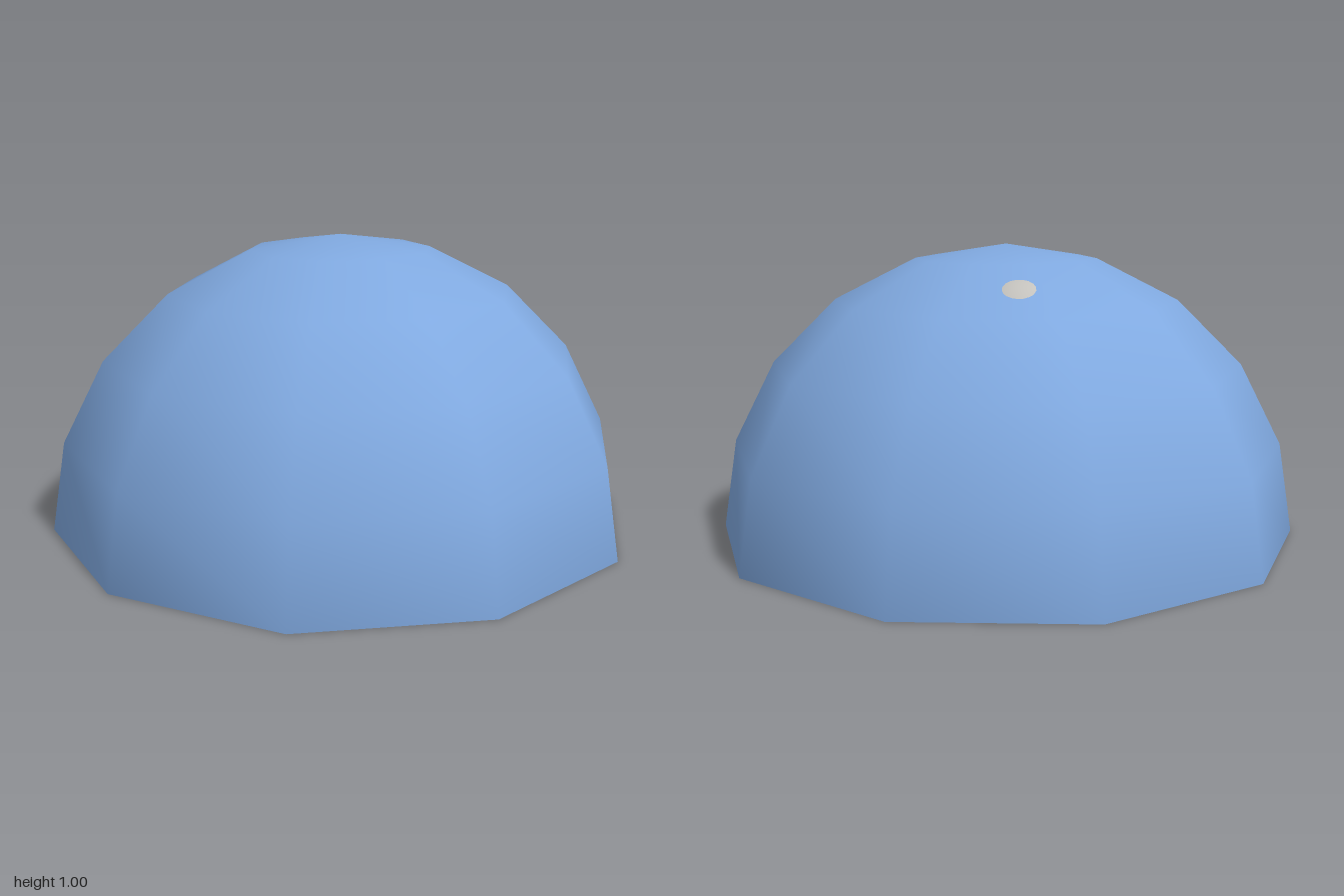
import * as THREE from 'three';

const mat = (name, color, side = THREE.FrontSide) => {
  const m = new THREE.MeshStandardMaterial({ color, side });
  m.name = name;
  return m;
};

export function createModel() {
  const model = new THREE.Group();
  const skyBlue = mat('sky blue', 0x80a9e0, THREE.DoubleSide);
  const rockGrey = mat('rock grey', 0xc0c0c0, THREE.DoubleSide);
  const paleGrey = mat('pale grey', 0xc3c1bc);

  const add = (name, geometry, material, x = 0, y = 0, z = 0) => {
    const mesh = new THREE.Mesh(geometry, material);
    mesh.name = name;
    mesh.position.set(x, y, z);
    model.add(mesh);
    return mesh;
  };

  // Ten-sided open sky dome with smooth shading
  add('skyDome', new THREE.SphereGeometry(1, 10, 5, 0, Math.PI * 2, 0, Math.PI / 2), skyBlue);

  // Moon whose outermost cap just breaks through the dome
  add('moon', new THREE.SphereGeometry(0.2, 48, 32), paleGrey, 0.147, 0.7155, -0.296);

  // Terrain: flat middle, rising to uneven hills with a ragged rim
  const halfX = 0.515, halfZ = 0.725, floorY = 0.07;
  const land = new THREE.PlaneGeometry(halfX * 2, halfZ * 2, 32, 44).rotateX(-Math.PI / 2);
  const p = land.attributes.position;
  for (let i = 0; i < p.count; i++) {
    const x = p.getX(i), z = p.getZ(i);
    const u = Math.abs(x) / halfX, v = Math.abs(z) / halfZ;
    const rise = THREE.MathUtils.smoothstep(Math.max(u, v), 0.5, 0.95);
    const corner = THREE.MathUtils.smoothstep(Math.min(u, v), 0.6, 1);
    const bumps = 0.035 * Math.sin(17 * x + 9 * z) + 0.03 * Math.sin(19 * z - 8 * x + 1);
    const cornerY = z > 0 ? (x < 0 ? 0.25 : 0.07) : (x < 0 ? 0.19 : 0.15);
    const y = THREE.MathUtils.lerp(floorY + rise * (0.12 + bumps), cornerY, corner);
    const ragged = 1 + rise * (1 - corner) * (0.02 * Math.sin(23 * x - 15 * z) + 0.012 * Math.sin(47 * (x + z)));
    const pull = x < 0 && z < 0 ? 0.09 * corner : 0;
    p.setXYZ(i, x * ragged, y, z * ragged + 0.03 + pull);
  }
  land.computeVertexNormals();
  add('terrain', land, rockGrey);

  // Flat ground plate under the middle of the terrain
  add('groundPlate', new THREE.BoxGeometry(0.52, 0.004, 0.74), rockGrey, 0, 0.067, 0.05);

  // Small stones clustered towards the corners of the plate
  for (const sx of [-1, 1]) for (const sz of [-1, 1]) for (let k = 0; k < 3; k++) {
    add('stone', new THREE.IcosahedronGeometry(0.012, 0), rockGrey,
      sx * (0.15 + 0.035 * k), 0.067, 0.05 + sz * (0.31 - 0.05 * k));
  }

  return model;
}
